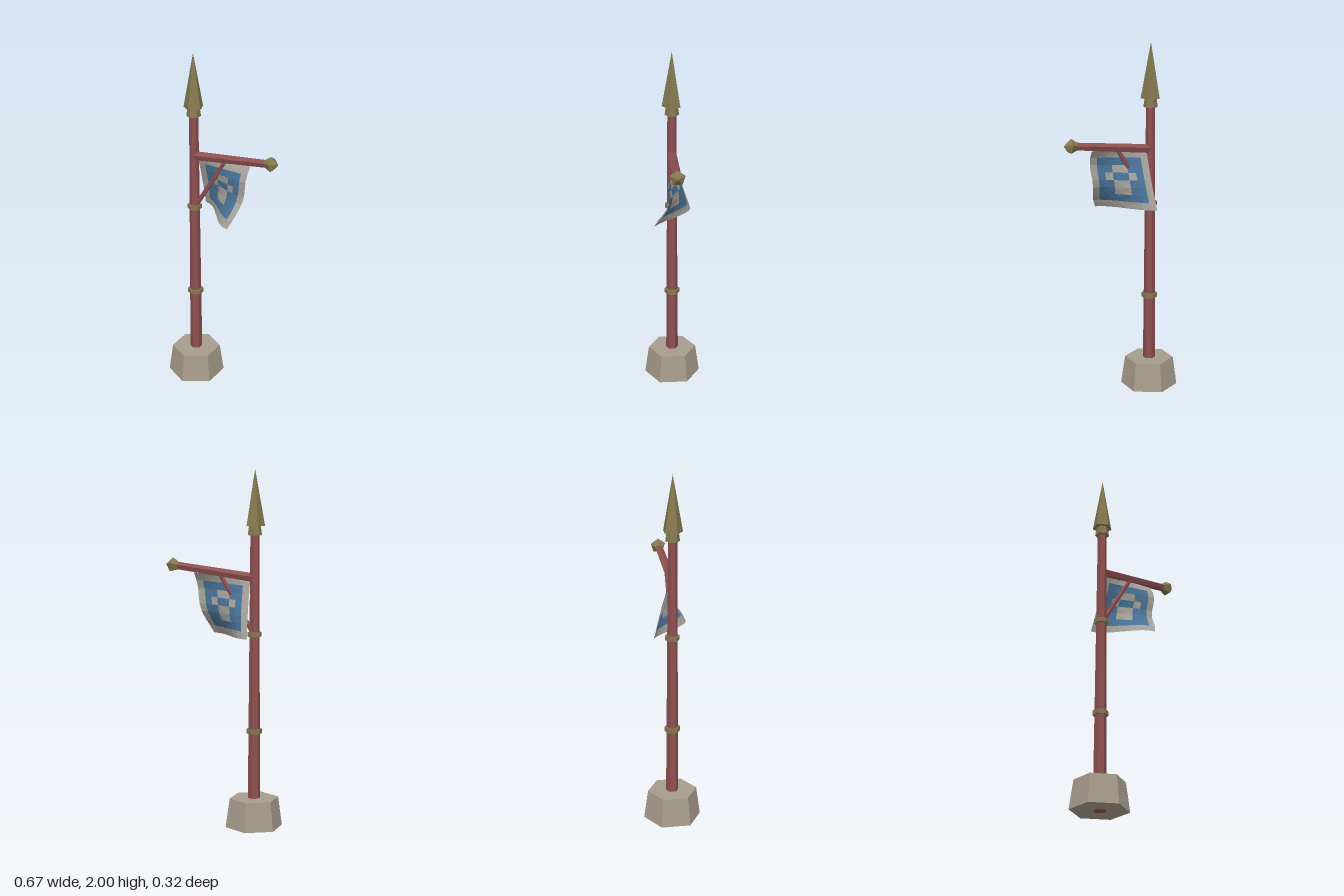
import * as THREE from 'three';

const mat = (color, side = THREE.FrontSide) =>
  new THREE.MeshStandardMaterial({ color, flatShading: true, side });

export function createModel() {
  const model = new THREE.Group();
  model.name = 'bannerPole';
  const stone = mat(0xa79c8c), wood = mat(0x8d5050), gold = mat(0x857850);
  const cloth = mat(0xa6a29b, THREE.DoubleSide), blue = mat(0x4a7399, THREE.DoubleSide);
  const PX = -0.194; // pole axis

  const add = (parent, name, geometry, material) => {
    const mesh = new THREE.Mesh(geometry, material);
    mesh.name = name;
    parent.add(mesh);
    return mesh;
  };
  // Upright tapered prism on the pole axis, from y0 to y1
  const prism = (name, r0, r1, y0, y1, sides, material) =>
    add(model, name, new THREE.CylinderGeometry(r1, r0, y1 - y0, sides), material)
      .position.set(PX, (y0 + y1) / 2, 0);

  // Upright parts
  prism('base', 0.162, 0.139, 0.001, 0.165, 6, stone);
  prism('pole', 0.036, 0.025, 0, 1.66, 6, wood);
  prism('lowerBand', 0.044, 0.044, 0.534, 0.56, 6, gold);
  prism('upperBand', 0.04, 0.04, 1.08, 1.105, 6, gold);
  prism('spearCollar', 0.04, 0.033, 1.64, 1.69, 6, gold);
  prism('spearHead', 0.056, 0, 1.69, 2, 5, gold);

  // Slanted rods, one edge turned upward; returns a group whose +y runs along the rod
  const rod = (name, x0, y0, x1, y1, r0, r1) => {
    const group = new THREE.Group();
    group.name = name;
    const length = Math.hypot(x1 - x0, y1 - y0);
    group.position.set(x0, y0, 0);
    group.rotation.z = Math.atan2(y1 - y0, x1 - x0) - Math.PI / 2;
    add(group, name + 'Rod',
      new THREE.CylinderGeometry(r1, r0, length, 5, 1, false, -Math.PI / 2), wood)
      .position.y = length / 2;
    model.add(group);
    return { group, length };
  };
  const arm = rod('arm', PX, 1.404, 0.295, 1.464, 0.026, 0.022);
  rod('brace', PX + 0.01, 1.1, 0.01, 1.42, 0.013, 0.013);

  // Faceted knob on the arm's end
  const knob = [[0, -0.04], [0.022, -0.04], [0.043, 0], [0, 0.038]]
    .map(([r, y]) => new THREE.Vector2(r, y));
  add(arm.group, 'armKnob', new THREE.LatheGeometry(knob, 5, -Math.PI / 2), gold)
    .position.y = arm.length;

  // Wind-twisted banner: a grid of cells, coloured by a simple pattern
  const pattern = [
    '........',
    '.BBBBBB.',
    '.BB..BB.',
    '.B.BB.B.',
    '.BB..BB.',
    '.BB..BB.',
    '.BBBBBB.',
    '........',
  ];
  const N = pattern.length;
  const point = (i, j) => {
    const u = i / N, v = j / N;
    const left = -0.17 - 0.015 * v * v;
    const right = 0.165 - 0.025 * v - 0.05 * v ** 3;
    const top = 1.4 + 0.025 * u;
    return [
      left + (right - left) * u,
      top + (1.075 - top) * v,
      0.105 * v * Math.sin(Math.PI * (u - 0.5)) + 0.02 * u * Math.sin(8 * v),
    ];
  };
  const cells = { '.': [], B: [] };
  for (let j = 0; j < N; j++) {
    for (let i = 0; i < N; i++) {
      const a = point(i, j), b = point(i + 1, j), c = point(i + 1, j + 1), d = point(i, j + 1);
      // Alternate the diagonal so the pattern gets bevelled folds
      const tris = (i < N / 2) === (j < N / 2) ? [a, d, b, b, d, c] : [a, d, c, a, c, b];
      cells[pattern[j][i]].push(...tris.flat());
    }
  }
  const banner = new THREE.Group();
  banner.name = 'banner';
  model.add(banner);
  for (const [key, name, material] of [['.', 'bannerCloth', cloth], ['B', 'bannerPattern', blue]]) {
    const geometry = new THREE.BufferGeometry();
    geometry.setAttribute('position', new THREE.Float32BufferAttribute(cells[key], 3));
    geometry.computeVertexNormals();
    add(banner, name, geometry, material);
  }
  return model;
}
